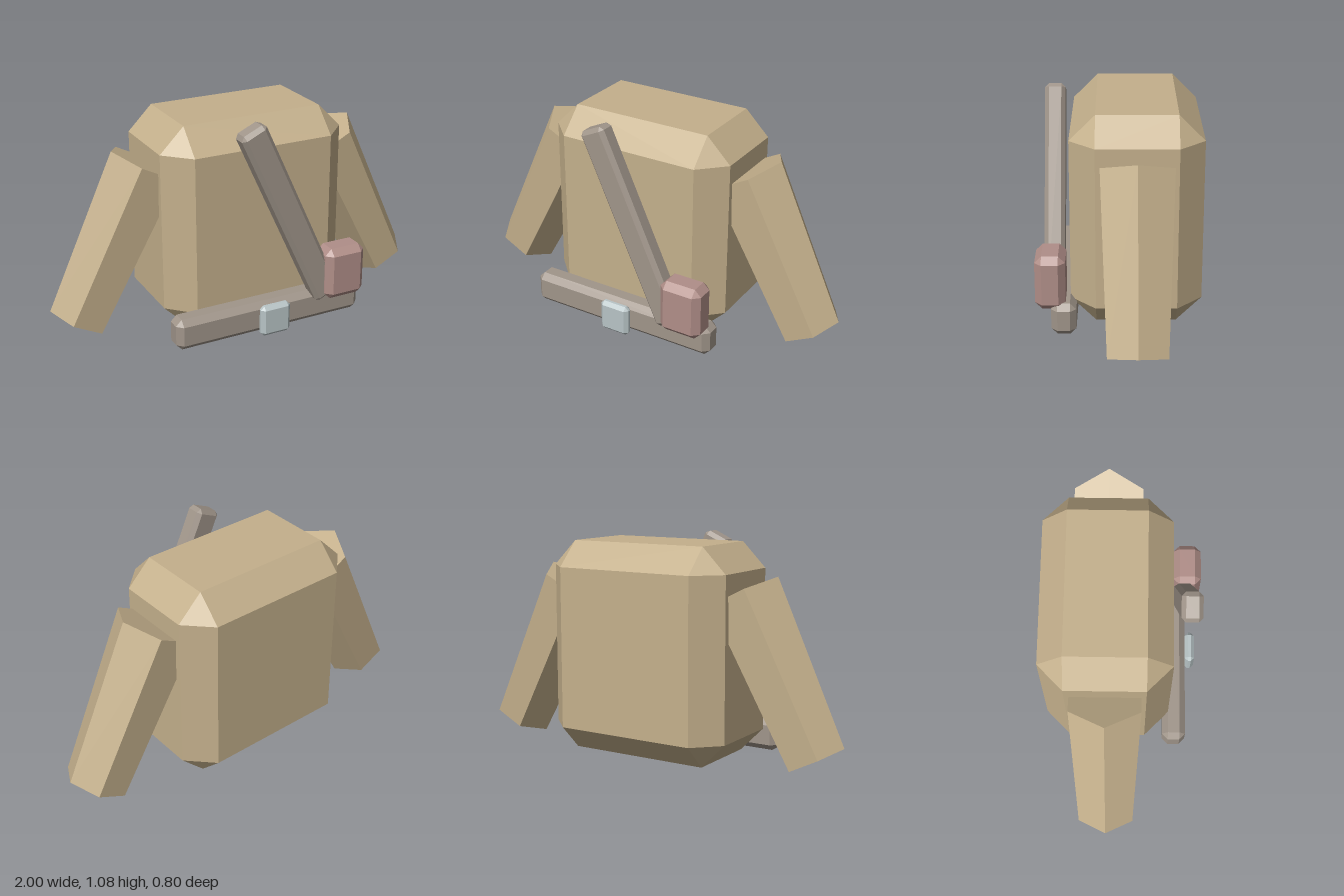
import * as THREE from 'three';
import { ConvexGeometry } from 'three/addons/geometries/ConvexGeometry.js';

const material = (color) => new THREE.MeshStandardMaterial({ color, flatShading: true });

// Box with every edge and corner cut by the chamfer c
function chamferBox(w, h, d, c) {
  const x = w / 2, y = h / 2, z = d / 2, points = [];
  for (const sx of [-1, 1]) for (const sy of [-1, 1]) for (const sz of [-1, 1]) {
    points.push(
      new THREE.Vector3(sx * x, sy * (y - c), sz * (z - c)),
      new THREE.Vector3(sx * (x - c), sy * y, sz * (z - c)),
      new THREE.Vector3(sx * (x - c), sy * (y - c), sz * z));
  }
  return new ConvexGeometry(points);
}

export function createModel() {
  const model = new THREE.Group();
  model.name = 'tunic';
  const cloth = material(0xc4b08c);
  const leather = material(0xa0958a);
  const pouchLeather = material(0xb08e88);
  const metal = material(0xb8c4c6);

  const add = (name, geometry, mat, x, y, z, tilt = 0) => {
    const mesh = new THREE.Mesh(geometry, mat);
    mesh.name = name;
    mesh.position.set(x, y, z);
    mesh.rotation.z = tilt;
    model.add(mesh);
  };

  // Torso
  add('torso', chamferBox(0.97, 1.04, 0.63, 0.123), cloth, 0, 0.535, -0.08);

  // Tapered six-sided sleeves, hanging outward
  const sleeve = new THREE.CylinderGeometry(0.195, 0.157, 0.837, 6, 1, false, Math.PI / 2);
  for (const [name, side] of [['leftSleeve', 1], ['rightSleeve', -1]]) {
    add(name, sleeve, cloth, side * 0.669, 0.456, -0.08, side * 0.474);
  }

  // Belt with its buckle
  add('belt', chamferBox(1.01, 0.16, 0.12, 0.03), leather, 0, 0.08, 0.265);
  add('buckle', chamferBox(0.16, 0.16, 0.05, 0.018), metal, 0, 0.08, 0.35);

  // Diagonal chest strap and the pouch at its lower end
  add('chestStrap', chamferBox(0.14, 1.02, 0.1, 0.02), leather, 0.09, 0.6, 0.314, 0.43);
  add('pouch', chamferBox(0.22, 0.27, 0.145, 0.033), pouchLeather, 0.38, 0.26, 0.328);

  return model;
}
